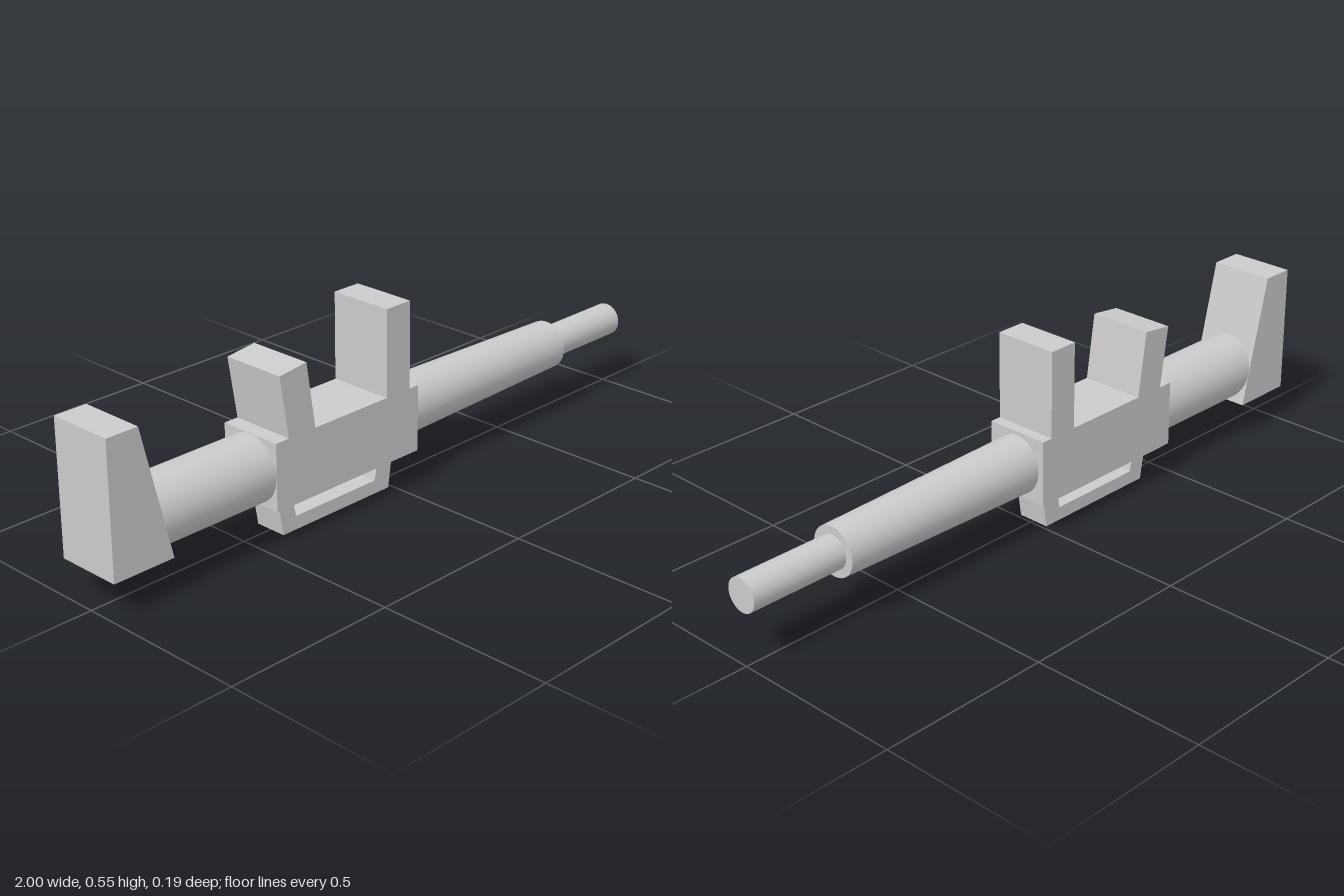
import * as THREE from 'three';

const material = new THREE.MeshStandardMaterial({ color: 0xcccccc });
const AXIS_Y = 0.2; // height of the long axis

// Side profile in x/y, extruded symmetrically across z
function slab(name, points, width) {
  const shape = new THREE.Shape(points.map(([x, y]) => new THREE.Vector2(x, y)));
  const geometry = new THREE.ExtrudeGeometry(shape, { depth: width, bevelEnabled: false });
  geometry.translate(0, 0, -width / 2);
  const mesh = new THREE.Mesh(geometry, material);
  mesh.name = name;
  return mesh;
}

// Round section along x; each end has a y radius and a z radius
function tube(name, x0, x1, [y0, z0], [y1, z1]) {
  const length = x1 - x0;
  const geometry = new THREE.CylinderGeometry(y1, y0, length, 48);
  geometry.rotateZ(-Math.PI / 2);
  const pos = geometry.attributes.position;
  for (let i = 0; i < pos.count; i++) {
    const t = pos.getX(i) / length + 0.5;
    pos.setZ(i, pos.getZ(i) * THREE.MathUtils.lerp(z0 / y0, z1 / y1, t));
  }
  geometry.translate((x0 + x1) / 2, AXIS_Y, 0);
  const mesh = new THREE.Mesh(geometry, material);
  mesh.name = name;
  return mesh;
}

export function createModel() {
  const model = new THREE.Group();
  model.name = 'model';

  // Tapered end block
  model.add(slab('stock', [[-1, 0.107], [-0.813, 0.107], [-0.904, 0.484], [-1, 0.484]], 0.191));

  // Central housing with its leaning rear post and upright front post
  model.add(slab('body', [
    [-0.47, 0.105], [0.053, 0.105], [0.053, 0.296],
    [0.02, 0.296], [0.02, 0.546], [-0.068, 0.546], [-0.068, 0.296],
    [-0.332, 0.296], [-0.36, 0.484], [-0.453, 0.473], [-0.425, 0.296],
    [-0.47, 0.296],
  ], 0.191));

  // Open guard under the body
  model.add(slab('guard', [
    [-0.425, 0.115], [-0.406, 0], [-0.012, 0], [0.005, 0.115],
    [-0.049, 0.115], [-0.065, 0.039], [-0.36, 0.039], [-0.376, 0.115],
  ], 0.096));

  // Round sections along the axis
  model.add(tube('rearTube', -0.9, -0.46, [0.095, 0.095], [0.095, 0.095]));
  model.add(tube('barrel', 0.04, 0.71, [0.086, 0.079], [0.071, 0.071]));
  model.add(tube('muzzle', 0.7, 1, [0.048, 0.048], [0.048, 0.048]));

  return model;
}
